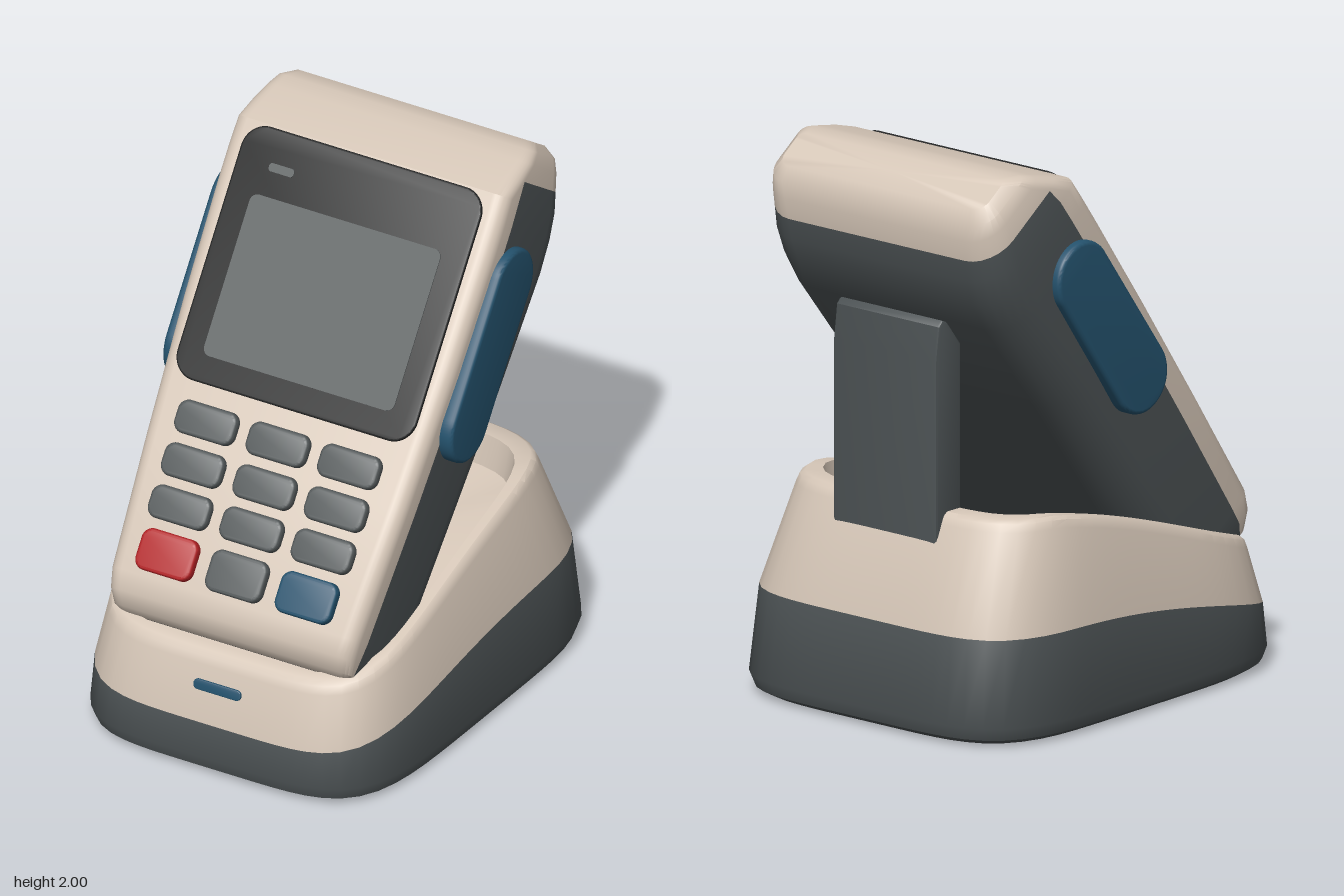
import * as THREE from 'three';
import { toCreasedNormals } from 'three/addons/utils/BufferGeometryUtils.js';

const material = (name, color) => new THREE.MeshStandardMaterial({ name, color });

// Skin closed rings of points from bottom to top; pick(row, col) gives the material index.
function loft(rings, pick, bottomMat, topMat) {
  const n = rings[0].length;
  const pts = rings.flat();
  const tris = [[], []];
  rings.slice(1).forEach((_, i) => {
    for (let j = 0; j < n; j++) {
      const a = i * n + j, b = i * n + (j + 1) % n;
      tris[pick(i, j)].push(a, b, b + n, a, b + n, a + n);
    }
  });
  const cap = (row, up, mat) => {
    const centre = new THREE.Vector3();
    rings[row].forEach((p) => centre.addScaledVector(p, 1 / n));
    const c = pts.push(centre) - 1;
    for (let j = 0; j < n; j++) {
      const a = row * n + j, b = row * n + (j + 1) % n;
      tris[mat].push(c, up ? a : b, up ? b : a);
    }
  };
  cap(0, false, bottomMat);
  cap(rings.length - 1, true, topMat);
  const geo = new THREE.BufferGeometry().setFromPoints(pts);
  geo.setIndex([...tris[0], ...tris[1]]);
  geo.addGroup(0, tris[0].length, 0);
  geo.addGroup(tris[0].length, tris[1].length, 1);
  return toCreasedNormals(geo, 0.6);
}

// Rounded plate in the xy plane, rising from z = 0 to z = d with a bevelled edge.
function plate(w, h, r, d, bevel) {
  const s = new THREE.Shape();
  const x = w / 2, y = h / 2;
  s.absarc(x - r, y - r, r, 0, Math.PI / 2);
  s.absarc(r - x, y - r, r, Math.PI / 2, Math.PI);
  s.absarc(r - x, r - y, r, Math.PI, Math.PI * 1.5);
  s.absarc(x - r, r - y, r, Math.PI * 1.5, Math.PI * 2);
  s.closePath();
  return toCreasedNormals(new THREE.ExtrudeGeometry(s, {
    depth: d - bevel, bevelEnabled: bevel > 0, bevelThickness: bevel, bevelSize: bevel,
    bevelOffset: -bevel, bevelSegments: 3, curveSegments: 10,
  }), 0.6);
}

// Cross-section of the handset: seam, front corners, seam, back corners.
const ARC = 6;
function handsetRing([y, w, f, b, rf, rb]) {
  const ring = [];
  const seam = Math.min(-0.11, f - rf - 0.01);
  const corner = (cx, cz, r, from) => {
    for (let i = 0; i <= ARC; i++) {
      const a = from + (i / ARC) * Math.PI / 2;
      ring.push(new THREE.Vector3(cx + r * Math.sin(a), y, cz + r * Math.cos(a)));
    }
  };
  ring.push(new THREE.Vector3(-w, y, seam));
  corner(rf - w, f - rf, rf, -Math.PI / 2);
  corner(w - rf, f - rf, rf, 0);
  ring.push(new THREE.Vector3(w, y, seam));
  corner(w - rb, b + rb, rb, Math.PI / 2);
  corner(rb - w, b + rb, rb, Math.PI);
  return ring;
}

// Heights of the colour seam and of the rim of the dock, by depth.
const clamp = (t) => Math.min(1, Math.max(0, t));
const seamY = (z) => 0.2 + 0.18 * Math.sin(clamp((0.82 - z) / 1.25) * Math.PI / 2);
const rimY = (z) => {
  const t = clamp((0.74 - z) / 1.14);
  return 0.44 + 0.33 * (t + 0.45 * t * t * (1 - t));
};

// Soft-cornered outline of the dock, narrowing a little towards the front.
function dockRing([hx, zf, zb, taper, height]) {
  const ring = [];
  for (let i = 0; i < 80; i++) {
    const a = (i / 80) * Math.PI * 2, s = Math.sin(a), c = Math.cos(a);
    const r = (Math.abs(s) ** 5 + Math.abs(c) ** 5) ** -0.2;
    const z = (zf + zb) / 2 + r * c * (zf - zb) / 2;
    const x = hx * r * s * (1 - taper * clamp((z + 0.5) / 1.3));
    ring.push(new THREE.Vector3(x, height(z), z));
  }
  return ring;
}

export function createModel() {
  const cream = material('cream shell', 0xd6c7b8);
  const dark = material('dark grey plastic', 0x4c5254);
  const black = material('black bezel', 0x222323);
  const grey = material('grey screen and keys', 0x555a5b);
  const blue = material('blue accent', 0x24526d);
  const red = material('red key', 0xb32225);

  const model = new THREE.Group();
  const add = (parent, name, geo, mat, x = 0, y = 0, z = 0) => {
    const mesh = new THREE.Mesh(geo, mat);
    mesh.name = name;
    mesh.position.set(x, y, z);
    parent.add(mesh);
    return mesh;
  };

  // Dock: dark foot, cream upper shell and the well that holds the handset
  const dock = new THREE.Group();
  dock.name = 'dock';
  model.add(dock);
  const dockRings = [
    [0.55, 0.69, -0.69, 0.09, () => 0.025],
    [0.56, 0.7, -0.7, 0.09, () => 0.004],
    [0.63, 0.77, -0.77, 0.09, () => 0.004],
    [0.665, 0.805, -0.805, 0.09, () => 0.025],
    [0.68, 0.82, -0.82, 0.09, () => 0.07],
    [0.658, 0.808, -0.785, 0.08, seamY],
    [0.592, 0.747, -0.645, 0.03, (z) => rimY(z) - 0.04],
    [0.584, 0.737, -0.632, 0.03, (z) => rimY(z) - 0.012],
    [0.57, 0.72, -0.615, 0.03, rimY],
    [0.535, 0.69, -0.55, 0.02, rimY],
    [0.52, 0.67, -0.53, 0.02, (z) => rimY(z) - 0.12],
  ].map(dockRing);
  add(dock, 'dockShell', loft(dockRings, (row) => (row < 5 ? 1 : 0), 1, 0), [cream, dark]);

  // Feet under the dock
  for (const x of [-0.44, 0.44]) {
    for (const z of [-0.58, 0.58]) {
      add(dock, 'foot', new THREE.CylinderGeometry(0.038, 0.038, 0.03, 20), grey, x, 0.015, z);
    }
  }

  // Status light on the front of the dock
  const light = add(dock, 'statusLight', plate(0.19, 0.038, 0.018, 0.012, 0.003), blue, 0, 0.33, 0.765);
  light.rotation.x = -0.28;

  // Upright back support
  const side = new THREE.Shape([[-0.67, 0.5], [-0.54, 0.5], [-0.54, 1.36], [-0.61, 1.45],
    [-0.635, 1.46], [-0.655, 1.44], [-0.67, 1.32]].map(([z, y]) => new THREE.Vector2(z, y)));
  const support = add(dock, 'backSupport', toCreasedNormals(new THREE.ExtrudeGeometry(side, {
    depth: 0.46, bevelThickness: 0.01, bevelSize: 0.01, bevelOffset: -0.01, bevelSegments: 2,
  }), 0.5), dark, 0.23);
  support.rotation.y = -Math.PI / 2;

  // Handset, leaning back; its front face lies on local z = 0
  const handset = new THREE.Group();
  handset.name = 'handset';
  handset.position.set(0, 0.62, 0.69);
  handset.rotation.x = -Math.PI / 5;
  model.add(handset);
  // Rows: height, half width, front, back, front radius, back radius
  const rows = [
    [-0.12, 0.45, -0.12, -0.42, 0.04, 0.1],
    [-0.1, 0.475, -0.065, -0.46, 0.05, 0.12],
    [-0.05, 0.488, -0.02, -0.49, 0.055, 0.13],
    [0.02, 0.496, 0, -0.5, 0.055, 0.14],
    [0.5, 0.522, 0, -0.515, 0.055, 0.15],
    [1.0, 0.542, 0, -0.535, 0.055, 0.15],
    [1.43, 0.55, 0, -0.555, 0.055, 0.15],
    [1.55, 0.55, 0, -0.547, 0.055, 0.15],
    [1.645, 0.547, 0, -0.52, 0.055, 0.14],
    [1.715, 0.54, -0.055, -0.485, 0.055, 0.13],
    [1.78, 0.53, -0.115, -0.45, 0.05, 0.11],
    [1.825, 0.515, -0.158, -0.412, 0.04, 0.08],
    [1.857, 0.475, -0.215, -0.365, 0.03, 0.05],
  ];
  const isCream = (row, col) => row >= 9 || col < 2 * ARC + 3;
  add(handset, 'handsetShell',
    loft(rows.map(handsetRing), (row, col) => (isCream(row, col) ? 0 : 1), 1, 0), [cream, dark]);

  // Display
  add(handset, 'bezel', plate(0.96, 0.92, 0.09, 0.014, 0.006), black, 0, 1.178, 0);
  add(handset, 'screen', plate(0.765, 0.587, 0.03, 0.004, 0), grey, 0, 1.108, 0.0135);
  add(handset, 'speakerSlot', plate(0.1, 0.03, 0.012, 0.004, 0), grey, -0.3, 1.505, 0.0135);

  // Keypad
  const keyRows = [[0.592, 0.12], [0.437, 0.12], [0.284, 0.12], [0.114, 0.15]];
  keyRows.forEach(([y, h], r) => {
    const last = r === 3;
    [-1, 0, 1].forEach((c) => {
      const mat = last && c ? (c < 0 ? red : blue) : grey;
      const name = last && c ? (c < 0 ? 'cancelKey' : 'confirmKey') : 'key';
      add(handset, name, plate(last ? 0.222 : 0.235, h, 0.04, 0.034, 0.012), mat,
        c * (last ? 0.28 : 0.287), y, 0);
    });
  });

  // Side grips
  for (const s of [-1, 1]) {
    const grip = add(handset, 'sideGrip', plate(0.27, 0.78, 0.134, 0.052, 0.015), blue, s * 0.53, 1.105, -0.207);
    grip.rotation.y = s * Math.PI / 2;
  }
  return model;
}
